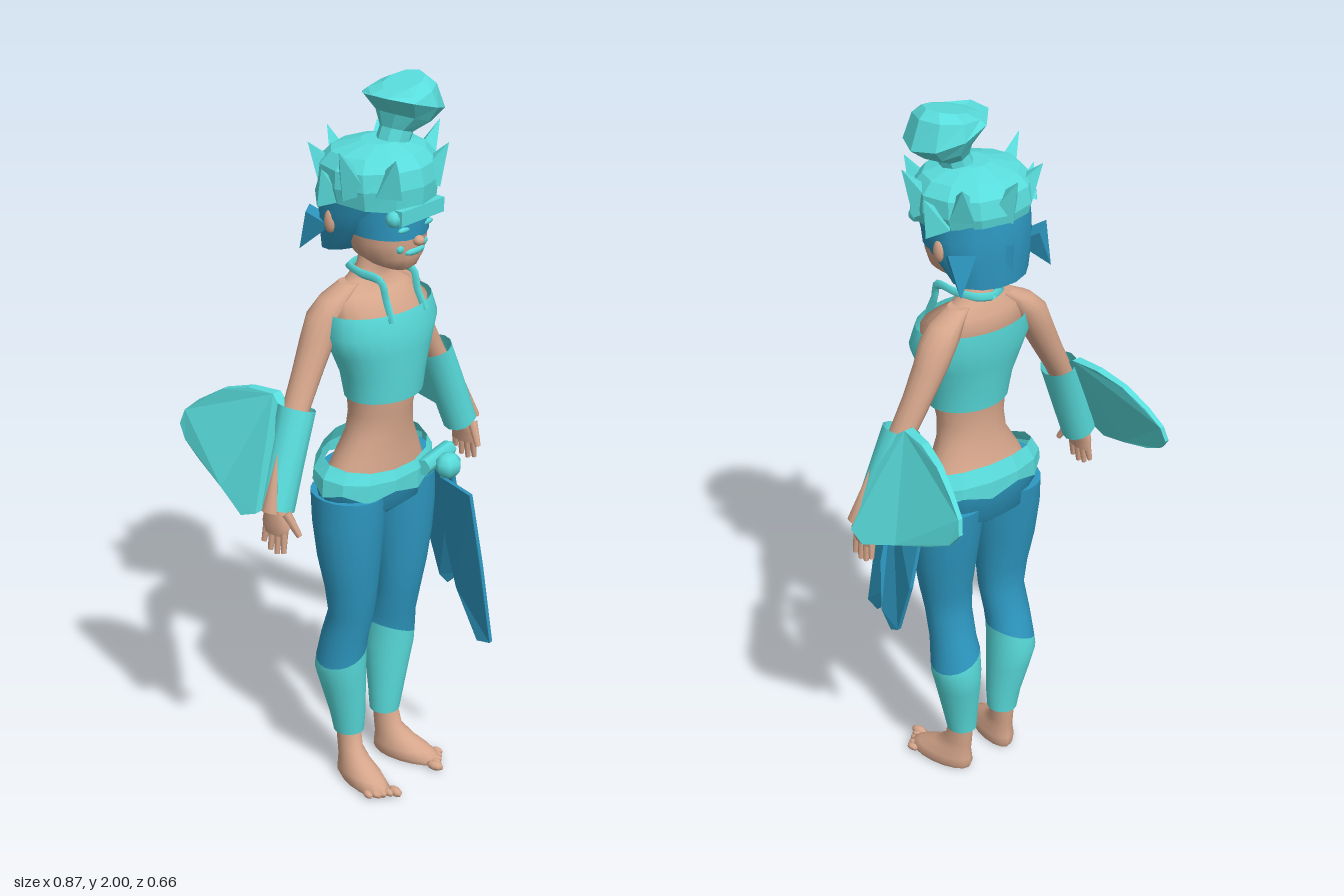
import * as THREE from 'three';

const mat = (name, color) => {
  const m = new THREE.MeshStandardMaterial({ color, side: THREE.DoubleSide });
  m.name = name;
  return m;
};

export function createModel() {
  const root = new THREE.Group();
  const skin = mat('skin', 0xd6a68b), teal = mat('teal', 0x59dcdc), blue = mat('blue', 0x2d97c0);

  const add = (name, geo, material, parent = root) => {
    const m = new THREE.Mesh(geo, material);
    m.name = name;
    parent.add(m);
    return m;
  };

  // Skin over elliptical rings, bottom to top: [x, y, z, rx, rz, tiltX, tiltZ]
  function loft(rings, { n = 20, flat = false, caps = true, jag = 0 } = {}) {
    const pos = [], idx = [];
    const ring = ([x, y, z, rx, rz = rx, tx = 0, tz = 0], first) => {
      for (let j = 0; j < n; j++) {
        const a = j / n * Math.PI * 2, c = Math.cos(a), s = Math.sin(a);
        pos.push(x + rx * c, y + tx * c + tz * s + (first && j % 2 ? -jag : 0), z + rz * s);
      }
    };
    rings.forEach((r, i) => ring(r, i === 0));
    for (let i = 0; i < rings.length - 1; i++) for (let j = 0; j < n; j++) {
      const a = i * n + j, b = i * n + (j + 1) % n;
      idx.push(a, a + n, b, b, a + n, b + n);
    }
    if (caps) [rings[0], rings[rings.length - 1]].forEach((r, top) => {
      const s = pos.length / 3;
      ring(r, !top);
      pos.push(r[0], r[1], r[2]);
      for (let j = 0; j < n; j++) {
        const a = s + j, b = s + (j + 1) % n;
        idx.push(s + n, top ? b : a, top ? a : b);
      }
    });
    let g = new THREE.BufferGeometry();
    g.setAttribute('position', new THREE.Float32BufferAttribute(pos, 3));
    g.setIndex(idx);
    if (flat) g = g.toNonIndexed();
    g.computeVertexNormals();
    return g;
  }

  // Thin sheet outlined in [z, y], pushed sideways by a rule
  function sheet(outline, t, xOf) {
    const shape = new THREE.Shape(outline.map(([z, y]) => new THREE.Vector2(-z, y)));
    const g = new THREE.ExtrudeGeometry(shape, { depth: t, bevelEnabled: false });
    g.translate(0, 0, -t / 2).rotateY(Math.PI / 2);
    const p = g.attributes.position;
    for (let i = 0; i < p.count; i++) p.setX(i, xOf(p.getX(i), p.getY(i), p.getZ(i)));
    g.computeVertexNormals();
    return g;
  }

  const up = new THREE.Vector3(0, 1, 0);
  function spike(name, from, to, r, material, sides = 4, rTip = 0) {
    const a = new THREE.Vector3(...from), b = new THREE.Vector3(...to), d = b.clone().sub(a);
    let g = new THREE.CylinderGeometry(rTip, r, d.length(), sides);
    if (sides < 6) { g = g.toNonIndexed(); g.computeVertexNormals(); }
    const m = add(name, g, material);
    m.position.copy(a).lerp(b, 0.5);
    m.quaternion.setFromUnitVectors(up, d.normalize());
    return m;
  }
  function ball(name, p, r, material, scale = [1, 1, 1], seg = 10) {
    const m = add(name, new THREE.SphereGeometry(r, seg, Math.max(5, seg - 2)), material);
    m.position.set(...p);
    m.scale.set(...scale);
    return m;
  }

  // Torso, top and hips
  add('torso', loft([
    [0, .93, .035, .17, .1], [0, 1, .045, .138, .085], [0, 1.06, .055, .104, .076], [0, 1.12, .06, .098, .075],
    [0, 1.18, .065, .108, .08], [0, 1.3, .06, .145, .09], [0, 1.41, .05, .155, .1], [0, 1.45, .022, .125, .062],
    [0, 1.48, .022, .075, .046], [0, 1.51, .03, .042, .04], [0, 1.58, .045, .038, .04]]), skin);
  add('top', loft([
    [0, 1.17, .07, .117, .092], [0, 1.24, .068, .13, .1], [0, 1.3, .063, .156, .108],
    [0, 1.36, .058, .182, .116], [0, 1.415, .05, .168, .11]], { n: 24, caps: false }), teal);
  add('hips', loft([[0, .81, .035, .06, .045], [0, .86, .035, .18, .106], [0, .95, .035, .193, .117]]), blue);
  add('belt', loft([
    [0, .935, .035, .2, .122, 0, -.022], [0, .965, .036, .197, .122, 0, -.02], [0, 1, .04, .175, .108, 0, -.028]],
    { n: 14, flat: true, caps: false, jag: .022 }), teal);
  ball('beltKnot', [.125, .94, .19], .036, teal, [1.1, 1, 1], 7);
  spike('beltTie', [.06, .945, .155], [.2, .945, .13], .024, teal, 6, .024);

  // Hanging sash ends
  add('frontSash', sheet([[.285, .89], [.31, .68], [.33, .44], [.285, .43], [.2, .56], [.155, .68], [.14, .88]], .012,
    (x, y, z) => x + .105 + .1 * (.9 - y) + .45 * Math.max(0, .25 - z)), blue);
  add('sideSash', sheet([[.16, .89], [.15, .7], [.14, .55], [.1, .505], [.07, .52], [.02, .68], [.025, .88]], .012,
    (x, y) => x + .18 + .066 * Math.sin(Math.min(1, (.9 - y) / .3) * Math.PI / 2)), blue);

  // Head and face
  add('head', loft([
    [0, 1.522, .11, .03, .04], [0, 1.535, .1, .056, .066], [0, 1.56, .085, .086, .09], [0, 1.6, .07, .106, .11],
    [0, 1.66, .055, .121, .125], [0, 1.72, .05, .13, .125]]), skin);
  add('mask', loft([[0, 1.625, .066, .113, .117, 0, -.012], [0, 1.665, .055, .124, .13], [0, 1.7, .052, .13, .132]]), blue);
  ball('nose', [0, 1.607, .184], .017, skin, [.9, .8, 1]);
  ball('mouth', [0, 1.578, .172], .034, teal, [1.1, .32, .3]);
  add('visor', new THREE.BoxGeometry(.16, .038, .032), teal).position.set(0, 1.685, .183);

  // Hair, cap and topknot
  add('hairBand', loft([
    [0, 1.565, -.015, .115, .078, 0, .012], [0, 1.63, .012, .14, .11], [0, 1.68, .03, .147, .13], [0, 1.73, .045, .15, .14]],
    { n: 14 }), blue);
  add('cap', loft([
    [0, 1.71, .048, .15, .148, 0, -.018], [0, 1.75, .048, .16, .152], [0, 1.795, .048, .157, .142],
    [0, 1.825, .05, .13, .115], [0, 1.845, .055, .05, .05]], { n: 12, flat: true }), teal);
  add('topknot', loft([
    [.025, 1.825, .07, .045, .045], [.04, 1.865, .075, .04, .045, -.012], [.06, 1.895, .08, .065, .075, -.022],
    [.053, 1.937, .083, .113, .1, -.034], [.05, 1.97, .083, .088, .085, .008], [.055, 1.986, .083, .06, .05, .014]],
    { n: 9, flat: true }), teal);
  spike('backSpike', [0, 1.75, -.07], [0, 1.845, -.125], .045, teal);
  spike('nearBackHairSpike', [0, 1.66, -.08], [0, 1.595, -.105], .03, blue);

  for (const s of [1, -1]) {
    const side = s > 0 ? 'left' : 'right';
    const P = (x, y, z) => [s * x, y, z];
    const limb = rings => rings.map(([x, y, z, rx, rz, tx = 0]) => [s * x, y, z, rx, rz, s * tx]);

    // Face details and spikes
    ball(side + 'Eye', P(.042, 1.643, .174), .024, teal, [1, .32, .3]);
    ball(side + 'MouthCorner', P(.044, 1.59, .162), .014, teal, [1, .9, .7], 7);
    ball(side + 'VisorKnob', P(.08, 1.68, .172), .022, teal, [1, 1, 1], 7);
    ball(side + 'Ear', P(.138, 1.653, .012), .022, skin, [.6, 1.4, .8]);
    spike(side + 'HairSpike', P(.115, 1.65, -.045), P(.148, 1.56, -.085), .05, blue);
    [[[.125, 1.75, .08], [.19, 1.86, .09]], [[.075, 1.75, .15], [.1, 1.84, .195]],
      [[.14, 1.72, .01], [.178, 1.8, .02]], [[.095, 1.76, -.03], [.13, 1.84, -.07]]]
      .forEach(([a, b], i) => spike(side + 'CapSpike' + (i + 1), P(...a), P(...b), .046, teal));

    // Neck strap
    const path = new THREE.CatmullRomCurve3([[.063, 1.395, .155], [.06, 1.45, .13], [.062, 1.495, .115],
      [.058, 1.5, .04], [.035, 1.5, -.015], [0, 1.498, -.03]].map(p => new THREE.Vector3(...P(...p))));
    add(side + 'Strap', new THREE.TubeGeometry(path, 20, .0125, 4), teal);

    // Arm, cuff and fin
    add(side + 'Arm', loft(limb([
      [.368, .93, .03, .024, .03], [.352, .99, .025, .028, .032], [.3, 1.12, .015, .035, .036], [.262, 1.19, .008, .036, .037],
      [.217, 1.27, .004, .041, .04], [.175, 1.35, .002, .047, .046], [.145, 1.41, .004, .054, .048],
      [.115, 1.447, .01, .046, .042], [.07, 1.477, .017, .03, .03]]), { n: 14 }), skin);
    add(side + 'Cuff', loft(limb([
      [.365, .945, .03, .045, .047, .018], [.32, 1.06, .022, .046, .048, .018], [.268, 1.19, .012, .046, .053, .016]]),
      { n: 12, caps: false }), teal);
    const slit = spike(side + 'CuffOpening', P(.404, .95, .042), P(.358, 1.1, .03), .026, skin, 8);
    slit.scale.set(.55, 1, 1);
    add(side + 'Fin', sheet([
      [.0, 1.19], [-.04, 1.22], [-.12, 1.218], [-.2, 1.195], [-.27, 1.15], [-.315, 1.11], [-.327, 1.07],
      [-.3, 1.035], [-.24, 1.005], [-.13, .965], [-.03, .93], [.02, .95]], .03,
      (x, y, z) => x * Math.max(.4, 1 + z * 1.8) + s * (.35 + (.5 + .9 * z) * (1.08 - y))), teal);

    // Hand
    add(side + 'Palm', loft(limb([
      [.377, .88, .036, .014, .04], [.377, .91, .04, .02, .046], [.37, .95, .034, .024, .034]]), { n: 12 }), skin);
    for (let i = 0; i < 4; i++)
      spike(side + 'Finger' + (i + 1), P(.377, .895, .067 - i * .02), P(.384, [.835, .827, .831, .848][i], .07 - i * .023),
        .011, skin, 7, .007);
    spike(side + 'Thumb', P(.372, .945, .07), P(.358, .885, .103), .014, skin, 7, .008);

    // Leg
    add(side + 'Shin', loft(limb([
      [.075, .14, .012, .042, .043], [.08, .2, .012, .05, .05], [.093, .3, .006, .062, .066],
      [.1, .35, .004, .068, .073], [.1, .4, .008, .067, .072, -.028]])), teal);
    add(side + 'Thigh', loft(limb([
      [.1, .4, .008, .067, .072, -.028], [.098, .46, .02, .064, .066], [.095, .54, .042, .066, .062], [.1, .62, .046, .075, .071],
      [.104, .72, .042, .089, .086], [.103, .82, .038, .097, .098], [.1, .9, .035, .094, .105]])), blue);

    // Foot
    const foot = new THREE.Group();
    foot.name = side + 'Foot';
    foot.position.x = s * .075;
    foot.rotation.y = s * .22;
    root.add(foot);
    add(side + 'FootBody', loft([
      [0, 0, .085, .042, .1], [0, .015, .085, .049, .107], [0, .035, .07, .046, .09], [0, .06, .045, .037, .062],
      [0, .09, .022, .032, .042], [0, .15, .012, .034, .036]], { n: 16 }), skin, foot);
    for (let i = 0; i < 5; i++) {
      const toe = ball(side + 'Toe' + (i + 1), [s * (-.032 + i * .0175), .013, .192 - i * .008], i ? .012 : .016, skin, [.9, .85, 1.6], 8);
      foot.add(toe);
    }
  }
  return root;
}
